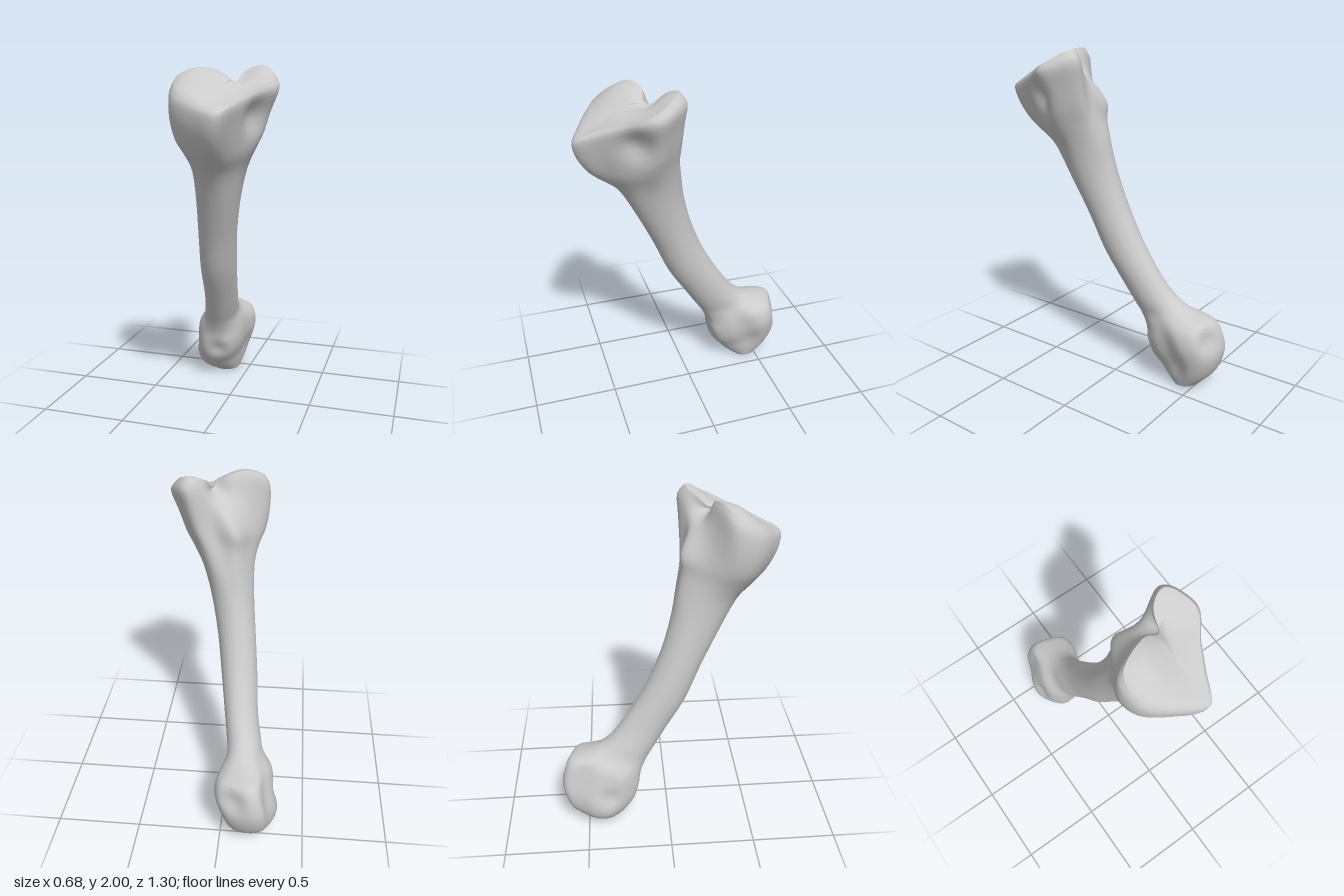
import * as THREE from 'three';
import { mergeVertices, toCreasedNormals } from 'three/addons/utils/BufferGeometryUtils.js';

const SIDES = 60, STEPS = 3;

// Closed outlines in a unit box (x across, z depth), starting at the front and turning towards +x.
const outline = pts => new THREE.CatmullRomCurve3(
  pts.map(([u, v]) => new THREE.Vector3(u, 0, v)), true, 'catmullrom', 0.5);
const condyle = outline([[0.45, 1], [0.7, 0.94], [0.85, 0.76], [0.9, 0.55], [1, 0.33], [0.88, 0.11],
  [0.5, 0], [0.24, 0.05], [0.16, 0.25], [0.02, 0.48], [0, 0.72], [0.2, 0.95]]);
const oval = outline(Array.from({ length: 12 }, (_, i) =>
  [0.5 + 0.5 * Math.sin(i * Math.PI / 6), 0.5 + 0.5 * Math.cos(i * Math.PI / 6)]));
const head = outline([[0.61, 1], [0.73, 0.78], [0.86, 0.56], [1, 0.33], [0.92, 0.14], [0.8, 0.02],
  [0.6, 0.07], [0.36, 0], [0.18, 0.25], [0, 0.5], [0.07, 0.74], [0.36, 0.92]]);
const rim = outline([[0.61, 1], [0.73, 0.78], [0.86, 0.56], [1, 0.33], [0.93, 0.13], [0.8, 0.02],
  [0.63, 0.11], [0.55, 0.31], [0.36, 0.3], [0.02, 0.46], [0.07, 0.74], [0.36, 0.92]]);
const shapes = [condyle, oval, head, rim, rim];

// Tilted sections from foot to head:
// front z, front y, back z, back y, x min, x max, shape (0 condyle, 1 oval, 2 head, 3 rim)
const sections = [
  [-0.36, 0.01, -0.52, 0.025, -0.24, -0.06, 0.8],
  [-0.30, 0.05, -0.61, 0.125, -0.32, -0.03, 0.5],
  [-0.255, 0.10, -0.65, 0.26, -0.34, 0.00, 0.1],
  [-0.20, 0.17, -0.64, 0.37, -0.325, 0.03, 0],
  [-0.17, 0.25, -0.60, 0.45, -0.305, 0.03, 0.1],
  [-0.165, 0.33, -0.52, 0.475, -0.29, 0.01, 0.4],
  [-0.13, 0.41, -0.43, 0.505, -0.24, -0.02, 0.7],
  [-0.08, 0.49, -0.35, 0.56, -0.22, -0.015, 1],
  [0.00, 0.62, -0.26, 0.67, -0.195, 0.005, 1],
  [0.11, 0.80, -0.13, 0.88, -0.18, 0.035, 1],
  [0.20, 1.01, -0.03, 1.11, -0.16, 0.065, 1],
  [0.31, 1.24, 0.03, 1.32, -0.14, 0.11, 1],
  [0.41, 1.42, 0.055, 1.48, -0.135, 0.16, 1.25],
  [0.50, 1.50, 0.075, 1.60, -0.155, 0.215, 1.55],
  [0.575, 1.57, 0.08, 1.70, -0.19, 0.265, 1.9],
  [0.63, 1.66, 0.075, 1.84, -0.21, 0.31, 2.5],
  [0.65, 1.75, 0.07, 1.94, -0.205, 0.34, 3],
  [0.62, 1.785, 0.11, 1.98, -0.175, 0.315, 3],
];

// Soft local pushes: centre, radius, offset
const pushes = [
  [[0.11, 1.94, 0.25], 0.06, [0, -0.04, 0]],       // notch between the head lobes
  [[0.27, 1.74, 0.35], 0.09, [-0.05, 0, -0.01]],   // hollow on the head's left side
  [[-0.06, 1.88, 0.37], 0.17, [0, 0.1, 0]],        // raised right part of the joint face
  [[0.22, 1.97, 0.17], 0.08, [0, 0.035, 0]],       // left lobe
  [[-0.09, 0.36, -0.61], 0.07, [0, -0.01, 0.04]],  // groove between the condyles
  [[-0.31, 0.23, -0.36], 0.06, [0.03, 0, 0]],      // dimple on the condyle's side
  [[-0.14, 0.22, -0.17], 0.06, [0, 0, -0.03]],     // hollow above the front rim
].map(([c, r, o]) => ({ c: new THREE.Vector3(...c), r, o: new THREE.Vector3(...o) }));

function sculpt(p) {
  const q = p.clone();
  for (const { c, r, o } of pushes) q.addScaledVector(o, Math.exp(-p.distanceToSquared(c) / (r * r)));
  return q;
}

function sectionPoint([zf, yf, zb, yb, x0, x1, shape], t) {
  const k = Math.floor(shape);
  const p = shapes[k].getPoint(t).lerp(shapes[k + 1].getPoint(t), shape - k);
  return new THREE.Vector3(x0 + (x1 - x0) * p.x, yb + (yf - yb) * p.z, zb + (zf - zb) * p.z);
}

function boneGeometry() {
  // Smooth lengthwise curve for every column
  const count = (sections.length - 1) * STEPS;
  const columns = Array.from({ length: SIDES }, (_, i) =>
    new THREE.CatmullRomCurve3(sections.map(s => sectionPoint(s, i / SIDES)), false, 'catmullrom', 0.5)
      .getPoints(count));
  const rings = Array.from({ length: count + 1 }, (_, j) => columns.map(c => c[j]));

  // Close both ends with shrinking rings
  const shrink = (ring, centre, k) => ring.map(p => p.clone().lerp(centre, k));
  const footEnd = new THREE.Vector3(-0.14, 0.005, -0.44), headEnd = new THREE.Vector3(0.08, 1.845, 0.4);
  const first = rings[0], last = rings[count];
  for (const k of [0.4, 0.75, 1]) rings.unshift(shrink(first, footEnd, k));
  for (const k of [0.15, 0.35, 0.55, 0.8, 1]) rings.push(shrink(last, headEnd, k));

  const pos = [], index = [];
  for (const ring of rings) for (const p of ring) pos.push(...sculpt(p).toArray());
  for (let j = 0; j < rings.length - 1; j++) {
    for (let i = 0; i < SIDES; i++) {
      const a = j * SIDES + i, b = j * SIDES + (i + 1) % SIDES;
      if (j > 0) index.push(a, b, a + SIDES);
      if (j < rings.length - 2) index.push(b, b + SIDES, a + SIDES);
    }
  }
  let geo = new THREE.BufferGeometry();
  geo.setAttribute('position', new THREE.Float32BufferAttribute(pos, 3));
  geo.setIndex(index);
  geo = toCreasedNormals(mergeVertices(geo), 0.6);
  geo.computeBoundingBox();
  return geo.translate(0, -geo.boundingBox.min.y, 0);
}

export function createModel() {
  const group = new THREE.Group();
  group.name = 'legBone';
  const bone = new THREE.Mesh(boneGeometry(), new THREE.MeshStandardMaterial({ color: 0xcccccc }));
  bone.name = 'bone';
  group.add(bone);
  return group;
}
